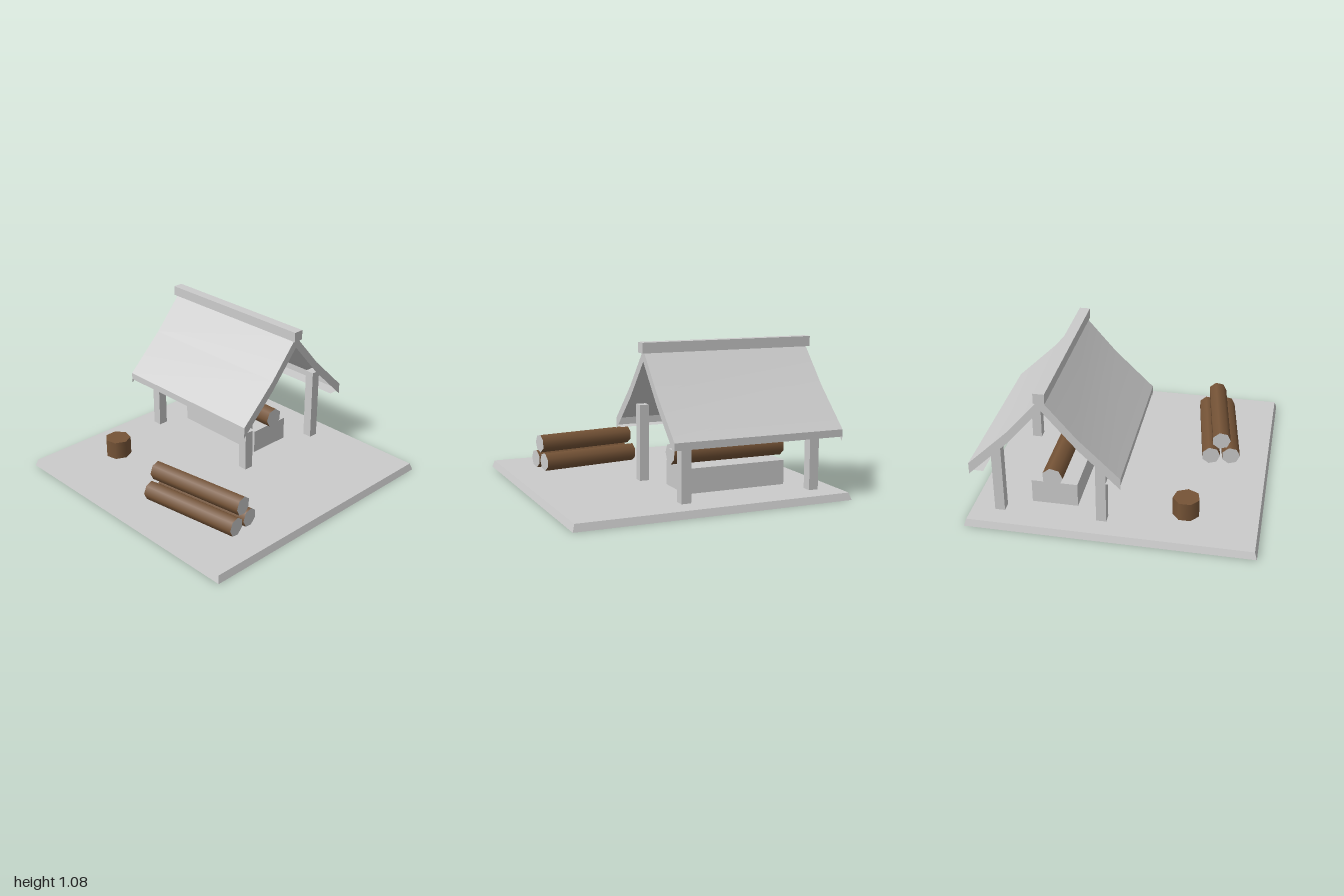
import * as THREE from 'three';
import { toCreasedNormals } from 'three/addons/utils/BufferGeometryUtils.js';

// Slab, blocks and roof are open shells, so both sides show
const grey = new THREE.MeshStandardMaterial({ color: 0xcccccc, side: THREE.DoubleSide });
const bark = new THREE.MeshStandardMaterial({ color: 0x765437 });

const GROUND = 0.05;
const RIDGE_Z = -0.43;
const MID_X = -0.322;

function add(parent, name, geometry, material, x = 0, y = 0, z = 0) {
  const mesh = new THREE.Mesh(geometry, material);
  mesh.name = name;
  mesh.position.set(x, y, z);
  parent.add(mesh);
  return mesh;
}

// Box without its underside, standing on y = 0; the top can be narrower
function openBox(w, h, d, taper = 1) {
  const box = new THREE.BoxGeometry(w, h, d).translate(0, h / 2, 0);
  const p = box.attributes.position;
  for (let i = 0; i < p.count; i++) {
    if (p.getY(i) > h / 2) p.setXYZ(i, p.getX(i) * taper, p.getY(i), p.getZ(i) * taper);
  }
  const index = Array.from(box.index.array);
  index.splice(18, 6);
  box.setIndex(index);
  box.clearGroups();
  box.computeVertexNormals();
  return box;
}

// Seven-sided log lying along x, with bare cut ends
function log(parent, name, radius, length, x, y, z) {
  const geometry = new THREE.CylinderGeometry(radius, radius, length, 7).rotateZ(Math.PI / 2);
  return add(parent, name, geometry, [bark, grey, grey], x, y, z);
}

// Sheet that follows [z, y] points and runs straight along x
function sheet(points, length) {
  const plane = new THREE.PlaneGeometry(length, 1, 1, points.length - 1);
  const p = plane.attributes.position;
  for (let i = 0; i < p.count; i++) {
    const [z, y] = points[Math.floor(i / 2)];
    p.setXYZ(i, p.getX(i), y, z);
  }
  return toCreasedNormals(plane, 0.5);
}

export function createModel() {
  const model = new THREE.Group();
  model.name = 'woodShelter';

  // Ground slab with bevelled sides
  add(model, 'groundSlab', openBox(2, GROUND, 2, 0.984), grey);

  // Four posts
  for (const sx of [-1, 1]) {
    for (const sz of [-1, 1]) {
      add(model, 'post', openBox(0.07, 0.55, 0.07), grey, MID_X + sx * 0.483, GROUND, RIDGE_Z + sz * 0.357);
    }
  }

  // Roof: a bent sheet that turns down at the eaves and in to a narrow soffit
  const roof = new THREE.Group();
  roof.name = 'roof';
  roof.position.set(MID_X, 0, RIDGE_Z);
  model.add(roof);
  const length = 1.248;
  const slope = [[-0.515, 0.485], [-0.235, 0.757], [0, 1.03], [0.235, 0.757], [0.515, 0.485]];
  const eave = [[-0.415, 0.435], [-0.515, 0.435]];
  const farEave = eave.map(([z, y]) => [-z, y]).reverse();
  add(roof, 'roofSheet', sheet([...eave, ...slope, ...farEave], length), grey);

  // Boards along both gables
  const upper = slope.map(([z, y]) => new THREE.Vector2(z, y));
  const lower = slope.map(([z, y]) => new THREE.Vector2(z, y - 0.082)).reverse();
  const gable = new THREE.Shape([...upper, ...lower]);
  for (const side of [-1, 1]) {
    const board = new THREE.ShapeGeometry(gable).rotateY(side * Math.PI / 2);
    add(roof, 'gableBoard', board, grey, side * length / 2);
  }
  add(roof, 'ridgeBeam', openBox(1.29, 0.072, 0.075), grey, 0, 1.007, 0);

  // Workbench with one long log on it
  add(model, 'bench', openBox(0.76, 0.175, 0.325), grey, -0.32, GROUND, RIDGE_Z);
  log(model, 'benchLog', 0.0735, 0.86, -0.325, 0.303, -0.428);

  // Stack of three logs
  const stack = new THREE.Group();
  stack.name = 'logStack';
  stack.position.set(0.375, 0, 0.591);
  stack.rotation.y = 0.15;
  model.add(stack);
  for (const [y, z] of [[0.122, -0.073], [0.122, 0.073], [0.25, 0]]) {
    log(stack, 'stackedLog', 0.068, 0.752, 0, y, z);
  }

  // Chopping stump
  const stump = new THREE.CylinderGeometry(0.095, 0.095, 0.135, 7, 1, false, Math.PI / 2);
  add(model, 'stump', stump, bark, -0.645, GROUND + 0.0675, 0.483);

  return model;
}
